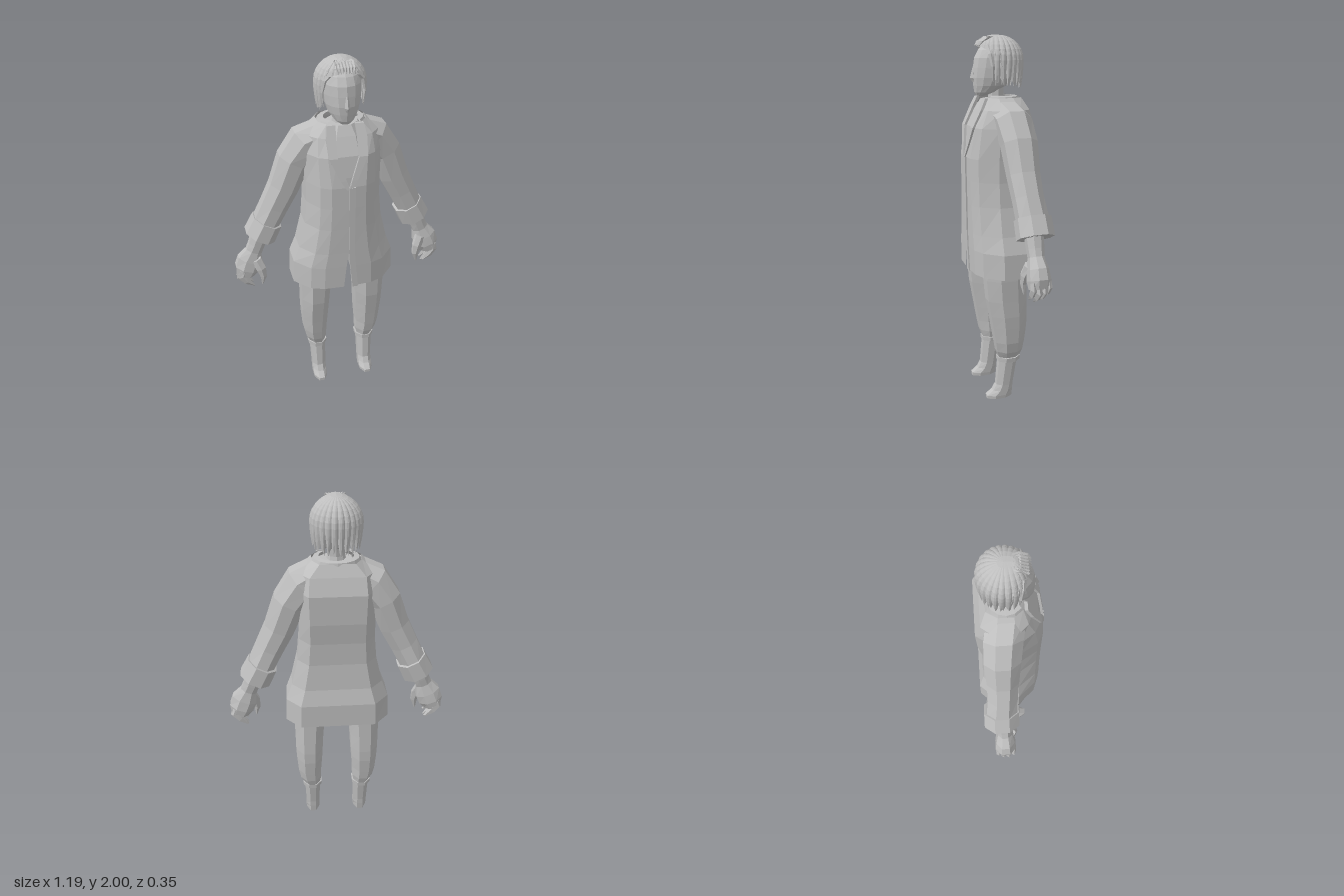
import * as THREE from 'three';

const grey = new THREE.MeshStandardMaterial({ color: 0xbebebe, side: THREE.DoubleSide });
grey.name = 'plain grey';

// Faceted skin over a stack of rings; side = -1 mirrors it across x = 0
function loft(parent, name, rings, { closed = true, cap = true, side = 1 } = {}) {
  let rows = rings.map(r => r.map(p => [p[0] * side, p[1], p[2]]));
  if (rows[0][0][1] > rows[rows.length - 1][0][1]) rows.reverse();
  if (side < 0) rows = rows.map(r => r.reverse());
  const pos = [];
  const tri = (a, b, c) => pos.push(...a, ...b, ...c);
  const n = rows[0].length;
  for (let i = 0; i < rows.length - 1; i++) {
    for (let j = 0; j < (closed ? n : n - 1); j++) {
      const k = (j + 1) % n;
      const a = rows[i][j], b = rows[i][k], c = rows[i + 1][k], d = rows[i + 1][j];
      tri(a, b, c);
      tri(a, c, d);
    }
  }
  if (closed && cap) {
    const lo = rows[0], hi = rows[rows.length - 1];
    for (let j = 1; j < n - 1; j++) {
      tri(lo[0], lo[j + 1], lo[j]);
      tri(hi[0], hi[j], hi[j + 1]);
    }
  }
  const g = new THREE.BufferGeometry();
  g.setAttribute('position', new THREE.Float32BufferAttribute(pos, 3));
  g.computeVertexNormals();
  const mesh = new THREE.Mesh(g, grey);
  mesh.name = name;
  parent.add(mesh);
}

// Rings square to a path of [x, y, z, half width, half depth]
function limb(path, sides = 8, turn = 0) {
  const grow = 1 / Math.cos(turn);
  return path.map((p, i) => {
    const a = path[Math.max(0, i - 1)], b = path[Math.min(path.length - 1, i + 1)];
    let dx = a[0] - b[0], dy = a[1] - b[1];
    const l = Math.hypot(dx, dy) || 1;
    dx /= l; dy /= l;
    return Array.from({ length: sides }, (_, j) => {
      const t = turn + j / sides * Math.PI * 2, s = Math.sin(t) * p[3] * grow;
      return [p[0] + dy * s, p[1] - dx * s, p[2] + Math.cos(t) * p[4] * grow];
    });
  });
}

// Level rings from [y, x centre, half width, front z, back z]
function levels(rows, sides = 8, turn = 0) {
  const grow = 1 / Math.cos(turn);
  return rows.map(([y, x, w, f, b]) => Array.from({ length: sides }, (_, j) => {
    const t = turn + j / sides * Math.PI * 2;
    return [x + Math.sin(t) * w * grow, y, (f + b) / 2 + Math.cos(t) * grow * (f - b) / 2];
  }));
}

export function createModel() {
  const model = new THREE.Group();
  model.name = 'figure';
  const T = Math.PI / 8;

  // Coat rows: y, half width, front z, back z, opening half width
  const coat = [
    [0.745, 0.285, 0.165, -0.172, 0.025], [0.88, 0.28, 0.168, -0.172, 0.012],
    [0.97, 0.247, 0.169, -0.15, 0], [1.12, 0.212, 0.171, -0.138, 0],
    [1.25, 0.2, 0.173, -0.145, 0], [1.37, 0.2, 0.174, -0.162, 0],
    [1.53, 0.205, 0.15, -0.168, 0.055], [1.62, 0.195, 0.108, -0.14, 0.055],
    [1.68, 0.125, 0.08, -0.112, 0.05],
  ];
  const coatRows = coat.map(([y, w, f, b, o]) => [
    [o, y, f], [0.45 * w + 0.2 * o, y, f - 0.006], [0.72 * w, y, f * 0.8], [w, y, f * 0.25],
    [w, y, b * 0.5], [0.72 * w, y, b], [0, y, b],
  ]);

  // Lapel rows: y, inner x, outer x, z
  const lapel = [
    [1.36, 0, 0.015, 0.174], [1.41, 0.014, 0.045, 0.168], [1.53, 0.055, 0.1, 0.15],
    [1.62, 0.055, 0.105, 0.108], [1.68, 0.05, 0.095, 0.08],
  ].map(([y, a, b, z]) => [[b, y, z - 0.01], [b, y, z + 0.006], [a, y, z + 0.006], [a, y, z - 0.01]]);

  const sleeve = limb([
    [0.09, 1.605, -0.015, 0.075, 0.095], [0.175, 1.555, -0.035, 0.095, 0.095], [0.245, 1.46, -0.045, 0.085, 0.09],
    [0.303, 1.31, -0.048, 0.078, 0.08], [0.358, 1.2, -0.053, 0.073, 0.076], [0.412, 1.09, -0.062, 0.07, 0.08],
  ], 8, T);
  const cuff = limb([
    [0.399, 1.108, -0.063, 0.08, 0.09], [0.445, 1.017, -0.063, 0.084, 0.092], [0.443, 1.022, -0.063, 0.06, 0.07],
  ], 8, T);
  const hand = limb([
    [0.43, 1.07, -0.055, 0.05, 0.05], [0.468, 0.97, -0.052, 0.044, 0.042], [0.485, 0.93, -0.05, 0.044, 0.038],
    [0.51, 0.875, -0.05, 0.068, 0.05], [0.53, 0.825, -0.05, 0.066, 0.056], [0.542, 0.785, -0.05, 0.046, 0.052],
  ], 8, T);
  const thumb = limb([
    [0.48, 0.89, -0.02, 0.032, 0.028], [0.457, 0.835, -0.003, 0.03, 0.023],
    [0.447, 0.785, 0.002, 0.02, 0.016], [0.455, 0.73, 0, 0.004, 0.004],
  ], 6);

  const trouserLeg = levels([
    [0.25, 0.147, 0.046, 0.032, -0.088], [0.29, 0.154, 0.06, 0.046, -0.1], [0.35, 0.16, 0.066, 0.057, -0.108],
    [0.44, 0.16, 0.073, 0.072, -0.118], [0.51, 0.16, 0.077, 0.084, -0.12], [0.6, 0.158, 0.08, 0.1, -0.118],
    [0.72, 0.154, 0.086, 0.11, -0.114], [0.92, 0.125, 0.11, 0.12, -0.11],
  ], 8, T);
  const band = levels([
    [0.225, 0.147, 0.053, 0.036, -0.088], [0.25, 0.147, 0.055, 0.036, -0.09],
  ], 8, T);
  const boot = levels([
    [0, 0.145, 0.038, 0.1, -0.043], [0.018, 0.145, 0.04, 0.1, -0.045], [0.045, 0.145, 0.04, 0.065, -0.048],
    [0.08, 0.145, 0.04, 0.045, -0.05], [0.24, 0.146, 0.045, 0.03, -0.075],
  ], 8, T);

  for (const side of [1, -1]) {
    const s = side > 0 ? 'left' : 'right';
    loft(model, s + 'Coat', coatRows, { closed: false, side });
    loft(model, s + 'Lapel', lapel, { side });
    loft(model, s + 'Sleeve', sleeve, { side });
    loft(model, s + 'Cuff', cuff, { side });
    loft(model, s + 'Hand', hand, { side });
    loft(model, s + 'Thumb', thumb, { side });
    // Four fingers curling inwards
    for (let i = 0; i < 4; i++) {
      const z = -0.01 - i * 0.027, d = [0.01, -0.006, 0, 0.02][i], out = [0, 0.008, 0.008, 0][i];
      loft(model, s + 'Finger' + (i + 1), limb([
        [0.55 + out, 0.82, z, 0.03, 0.016], [0.562 + out, 0.78 + d, z, 0.026, 0.015],
        [0.538, 0.745 + d, z, 0.021, 0.014], [0.5, 0.712 + d, z, 0.005, 0.005],
      ], 5), { side });
    }
    loft(model, s + 'TrouserLeg', trouserLeg, { side });
    loft(model, s + 'AnkleBand', band, { side });
    loft(model, s + 'Boot', boot, { side });
  }

  // Front placket on the wearer's left
  loft(model, 'placket', [[0.742, 0.022], [0.88, 0.008], [0.97, 0], [1.37, 0]].map(([y, x]) => {
    const z = 0.167 + (y - 0.742) * 0.015;
    return [[x + 0.032, y, z - 0.008], [x + 0.032, y, z + 0.004], [x, y, z + 0.004], [x, y, z - 0.008]];
  }));

  // Chest, neck and collar
  loft(model, 'chest', levels([
    [1.33, 0, 0.14, 0.165, -0.12], [1.42, 0, 0.14, 0.16, -0.13], [1.53, 0, 0.14, 0.143, -0.13],
    [1.62, 0, 0.12, 0.1, -0.1], [1.67, 0, 0.08, 0.072, -0.07],
  ], 8, T));
  loft(model, 'neck', levels([[1.62, 0, 0.06, 0.05, -0.06], [1.69, 0, 0.045, 0.04, -0.045], [1.8, 0, 0.045, 0.04, -0.045]]));
  const collar = levels([
    [1.655, 0, 0.135, 0.095, -0.12], [1.685, 0, 0.118, 0.085, -0.115], [1.688, 0, 0.09, 0.065, -0.09],
  ], 16).map(r => r.slice(2, 15));
  loft(model, 'collar', collar, { closed: false });

  // Head and nose
  loft(model, 'head', levels([
    [1.687, 0, 0.025, 0.105, 0.06], [1.705, 0, 0.052, 0.115, 0.005], [1.74, 0, 0.077, 0.121, -0.06],
    [1.78, 0, 0.09, 0.125, -0.09], [1.83, 0, 0.098, 0.121, -0.11], [1.88, 0, 0.1, 0.114, -0.115],
    [1.92, 0, 0.092, 0.092, -0.1], [1.96, 0, 0.06, 0.05, -0.07],
  ], 14));
  loft(model, 'nose', levels([
    [1.757, 0, 0.01, 0.126, 0.11], [1.778, 0, 0.014, 0.14, 0.11], [1.835, 0, 0.007, 0.124, 0.11],
  ], 4));

  // Ribbed hair cap, combed from a centre line, with jagged ends longest at the back
  const N = 96, hair = [];
  for (let i = 0; i <= 10; i++) {
    hair.push(Array.from({ length: N }, (_, j) => {
      const t = j / N * Math.PI * 2, off = Math.min(t, Math.PI * 2 - t);
      const rib = [-0.035, 0.01, 0.025, 0.01][j % 4];
      const drop = THREE.MathUtils.smoothstep(off, 0.75, 1.15);
      const end = THREE.MathUtils.lerp(1.945 - off * 0.035, 1.765 - off * 0.009, drop)
        + (j % 4 === 0 ? 0.045 : 0) * drop - 0.018 * drop * Math.sin(j * 2.3);
      const top = Math.max(end, 1.87), maxPhi = Math.acos((top - 1.87) / 0.125);
      const phi = maxPhi * Math.min(1, i / 7), f = Math.max(0, (i - 7) / 3);
      const y0 = 1.87 + 0.125 * Math.cos(phi);
      const r = Math.sin(phi) * (1 + rib) * (1 - 0.1 * f * f * drop);
      const rz = Math.cos(t) > 0 ? r * 0.6 + 0.4 * Math.sin(maxPhi) : r;
      return [Math.sin(t) * r * 0.13, y0 + (end - y0) * f, -0.02 + Math.cos(t) * rz * 0.126];
    }));
  }
  loft(model, 'hair', hair, { cap: false });

  // Swept tuft above the forehead and loose locks beside the face
  for (let i = -3; i <= 3; i++) {
    const x = i * 0.014;
    loft(model, 'tuftLock', limb([
      [x * 0.8, 1.98, 0.015, 0.009, 0.01], [x, 1.988 - Math.abs(i) * 0.002, 0.045, 0.01, 0.011],
      [x * 1.1, 1.965, 0.082, 0.007, 0.008], [x * 0.9, 1.94, 0.1, 0.002, 0.003],
    ], 5));
  }
  for (const side of [1, -1]) {
    for (let i = 0; i < 3; i++) {
      loft(model, 'sideLock', limb([
        [0.06 + i * 0.014, 1.94, 0.06 - i * 0.02, 0.012, 0.014], [0.096 + i * 0.008, 1.9, 0.055 - i * 0.022, 0.011, 0.014],
        [0.108 + i * 0.006, 1.84, 0.048 - i * 0.022, 0.008, 0.011], [0.1 + i * 0.006, 1.765 - i * 0.008, 0.044 - i * 0.022, 0.002, 0.003],
      ], 5), { side });
    }
  }
  return model;
}
